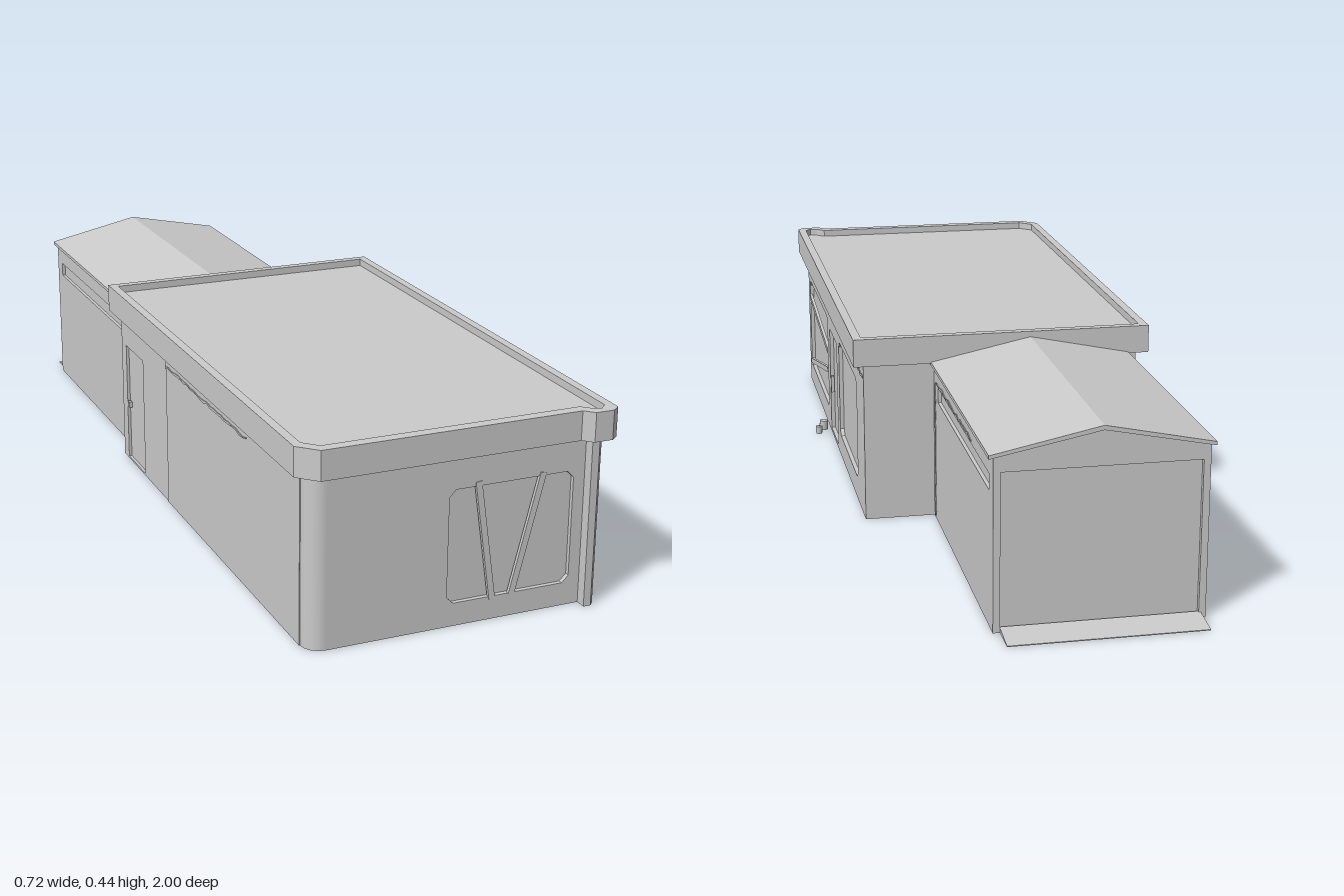
import * as THREE from 'three';

const mat = new THREE.MeshStandardMaterial({ color: 0xcccccc, side: THREE.DoubleSide });
// rotation of each facade; local u runs along the wall, local z points outwards
const FRONT = 0, RIGHT_SIDE = Math.PI / 2, BACK = Math.PI, LEFT_SIDE = -Math.PI / 2;

const shapeOf = pts => new THREE.Shape(pts.map(p => new THREE.Vector2(p[0], p[1])));
const rect = (u0, y0, u1, y1, c = 0) => c === 0
  ? [[u0, y0], [u1, y0], [u1, y1], [u0, y1]]
  : [[u0 + c, y0], [u1 - c, y0], [u1, y0 + c], [u1, y1 - c],
    [u1 - c, y1], [u0 + c, y1], [u0, y1 - c], [u0, y0 + c]];

function extrude(pts, holes, depth) {
  const s = shapeOf(pts);
  holes.forEach(h => s.holes.push(shapeOf(h)));
  return new THREE.ExtrudeGeometry(s, { depth, bevelEnabled: false });
}

function seeded(seed) {
  return () => (seed = (seed * 16807) % 2147483647) / 2147483647;
}

export function createModel() {
  const model = new THREE.Group();

  const add = (name, geo, rotY = 0) => {
    const m = new THREE.Mesh(geo, mat);
    m.name = name;
    m.rotation.y = rotY;
    model.add(m);
    return m;
  };
  // vertical panel whose outer face lies at distance d along the facade normal
  const panel = (name, rot, d, t, pts, holes = []) =>
    add(name, extrude(pts, holes, t).translate(0, 0, d - t), rot);
  // horizontal slab from an x,z outline
  const slab = (name, y0, y1, pts, holes = []) => {
    const flip = a => a.map(p => [p[0], -p[1]]);
    add(name, extrude(flip(pts), holes.map(flip), y1 - y0).rotateX(-Math.PI / 2).translate(0, y0, 0));
  };
  // board nailed across a window
  const plank = (rot, d, a, b) => {
    const dx = b[0] - a[0], dy = b[1] - a[1];
    const g = new THREE.BoxGeometry(Math.hypot(dx, dy), 0.014, 0.008);
    g.rotateZ(Math.atan2(dy, dx)).translate((a[0] + b[0]) / 2, (a[1] + b[1]) / 2, d - 0.002);
    add('windowPlank', g, rot);
  };
  // ragged crack strip, horizontal or vertical
  const crack = (rot, d, from, to, level, vertical, seed) => {
    const rnd = seeded(seed), n = 24, top = [], low = [];
    for (let i = 0; i <= n; i++) {
      const s = from + (to - from) * i / n, mid = level + (rnd() - 0.5) * 0.007;
      const half = 0.0008 + rnd() * 0.003;
      top.push([s, mid + half]);
      low.unshift([s, mid - half]);
    }
    const pts = top.concat(low).map(p => vertical ? [p[1], p[0]] : p);
    panel('wallCrack', rot, d + 0.002, 0.002, pts);
  };

  const H = 0.38, T = 0.014;

  // right wall (+x): boarded window, door, large window
  const boarded = rect(-0.93, 0.055, -0.5, 0.305, 0.015);
  const sideDoor = rect(-0.45, 0.01, -0.3, 0.285);
  const bigWindow = rect(-0.25, 0.055, 0.1, 0.305, 0.015);
  panel('sideWall', RIGHT_SIDE, 0.315, T, rect(-0.955, 0, 0.235, H), [boarded, sideDoor, bigWindow]);
  [['windowPane', boarded], ['door', sideDoor], ['windowPane', bigWindow]].forEach(([n, o]) =>
    panel(n, RIGHT_SIDE, 0.305, 0.003, o));
  plank(RIGHT_SIDE, 0.315, [-0.93, 0.257], [-0.5, 0.212]);
  plank(RIGHT_SIDE, 0.315, [-0.93, 0.064], [-0.5, 0.158]);

  // front wall with its boarded window
  const frontWindow = rect(-0.025, 0.052, 0.262, 0.305, 0.015);
  panel('frontWall', FRONT, 0.955, T, rect(-0.295, 0, 0.3, H), [frontWindow]);
  panel('windowPane', FRONT, 0.945, 0.003, frontWindow);
  plank(FRONT, 0.955, [0.04, 0.315], [0.08, 0.047]);
  plank(FRONT, 0.955, [0.19, 0.312], [0.125, 0.049]);

  // rounded front corner and corner pillar
  add('roundedCorner', new THREE.CylinderGeometry(0.04, 0.04, H, 4, 1, true, Math.PI * 1.5, Math.PI / 2)
    .translate(-0.295, H / 2, 0.915));
  slab('cornerPillar', 0, H, [[0.288, 0.945], [0.315, 0.945], [0.315, 0.97], [0.305, 0.98], [0.288, 0.98]]);

  // left wall (-x) with service door and raised wall section
  const serviceDoor = rect(-0.2, 0.005, -0.07, 0.3);
  panel('sideWall', LEFT_SIDE, 0.335, T, rect(-0.235, 0, 0.915, H), [serviceDoor]);
  panel('door', LEFT_SIDE, 0.328, 0.003, serviceDoor);
  panel('wallSection', LEFT_SIDE, 0.337, 0.002, rect(0.11, 0, 0.915, H));

  // back wall on both sides of the garage
  panel('backWall', BACK, 0.235, T, rect(-0.315, 0, -0.14, H));
  panel('backWall', BACK, 0.235, T, rect(0.29, 0, 0.335, H));

  // parapet and sunken flat roof
  const inner = [[-0.34, -0.235], [0.32, -0.235], [0.32, 0.965], [0.305, 0.98],
    [0.288, 0.975], [0.268, 0.955], [-0.31, 0.955], [-0.34, 0.925]];
  slab('parapet', H, 0.445, [[-0.36, -0.255], [0.34, -0.255], [0.34, 0.985], [0.322, 1],
    [0.28, 1], [0.26, 0.98], [-0.32, 0.98], [-0.36, 0.94]], [inner]);
  slab('flatRoof', H, 0.428, inner);

  // garage side walls with slit windows
  [[RIGHT_SIDE, 0.15, 1], [LEFT_SIDE, 0.3, -1]].forEach(([rot, d, s]) => {
    const span = (a, y0, b, y1) => rect(Math.min(a * s, b * s), y0, Math.max(a * s, b * s), y1);
    const slit = span(0.29, 0.295, 0.89, 0.33);
    panel('garageWall', rot, d, T, span(0.225, 0, 0.93, H), [slit]);
    panel('slitWindow', rot, d - 0.008, 0.003, slit);
  });

  // garage rear gable, roller door and ramp
  const opening = rect(-0.135, 0.002, 0.285, 0.345);
  panel('garageGable', BACK, 0.93, T,
    [[-0.15, 0], [0.3, 0], [0.3, 0.377], [0.075, 0.422], [-0.15, 0.377]], [opening]);
  panel('garageDoor', BACK, 0.92, 0.003, opening);
  add('ramp', extrude([[0.925, 0], [1, 0], [1, 0.002], [0.925, 0.011]], [], 0.425)
    .translate(0, 0, -0.2125).rotateY(Math.PI / 2).translate(-0.0775, 0, 0));

  // low gabled garage roof
  add('garageRoof', extrude([[-0.31, 0.375], [-0.075, 0.422], [0.16, 0.375],
    [0.16, 0.383], [-0.075, 0.432], [-0.31, 0.383]], [], 0.69).translate(0, 0, -0.935));

  // wall cracks
  crack(RIGHT_SIDE, 0.315, -0.26, 0.23, 0.345, false, 11);
  crack(RIGHT_SIDE, 0.15, 0.26, 0.7, 0.338, false, 23);
  crack(RIGHT_SIDE, 0.15, 0.005, 0.33, 0.256, true, 37);
  crack(LEFT_SIDE, 0.337, 0.11, 0.63, 0.345, false, 51);

  // door handles
  add('doorHandle', new THREE.BoxGeometry(0.008, 0.045, 0.006).translate(0.311, 0.135, 0.44));
  add('doorHandle', new THREE.BoxGeometry(0.008, 0.015, 0.012).translate(-0.334, 0.15, -0.185));

  // two cups beside the door, one with a straw
  add('cup', new THREE.CylinderGeometry(0.011, 0.01, 0.025, 12).translate(0.334, 0.0125, 0.47));
  add('cup', new THREE.CylinderGeometry(0.009, 0.008, 0.02, 12).translate(0.351, 0.01, 0.437));
  add('straw', new THREE.CylinderGeometry(0.001, 0.001, 0.016, 6).rotateZ(0.2).translate(0.349, 0.024, 0.437));

  return model;
}
